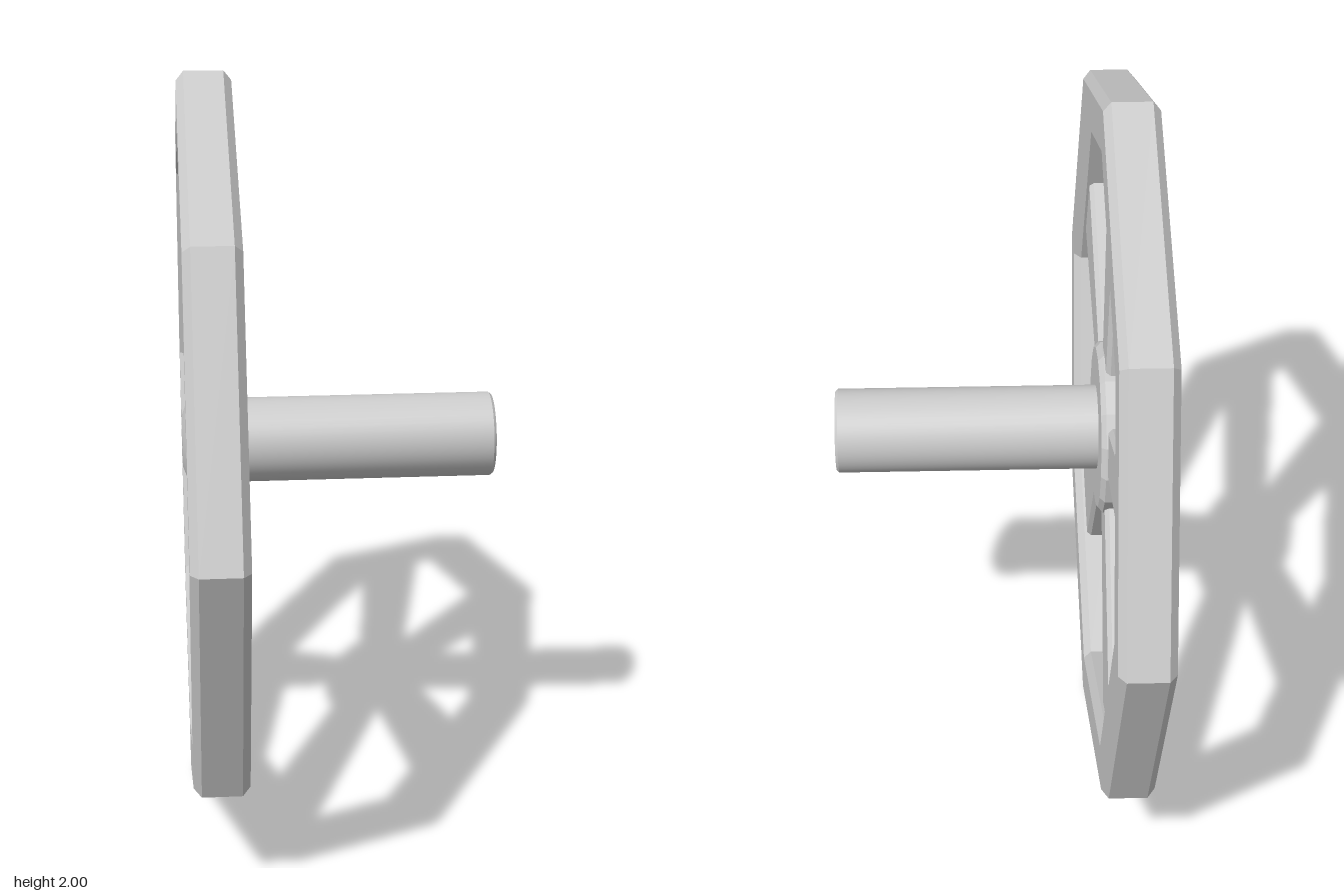
import * as THREE from 'three';
import { toCreasedNormals } from 'three/addons/utils/BufferGeometryUtils.js';

const flat = new THREE.MeshStandardMaterial({ color: 0xcccccc, flatShading: true });
const smooth = new THREE.MeshStandardMaterial({ color: 0xcccccc });

// Turned part about the x axis; profile points are [radius, x]
function turned(name, profile, sides, material) {
  let geo = new THREE.LatheGeometry(profile.map(([r, x]) => new THREE.Vector2(r, x)), sides);
  geo.rotateZ(-Math.PI / 2);
  if (material === smooth) geo = toCreasedNormals(geo, 0.4);
  const mesh = new THREE.Mesh(geo, material);
  mesh.name = name;
  return mesh;
}

export function createModel() {
  const group = new THREE.Group();
  group.name = 'handwheel';
  const wheel = new THREE.Group();
  wheel.name = 'wheel';
  wheel.position.y = 1;
  group.add(wheel);

  // Octagonal rim with chamfered edges
  wheel.add(turned('rim', [
    [0.975, -0.418], [1, -0.398], [1, -0.295], [0.975, -0.275],
    [0.862, -0.275], [0.838, -0.295], [0.838, -0.398], [0.862, -0.418], [0.975, -0.418],
  ], 8, flat));

  // Faceted hub
  wheel.add(turned('hub', [
    [0, -0.408], [0.22, -0.408], [0.235, -0.395],
    [0.235, -0.298], [0.22, -0.285], [0, -0.285],
  ], 16, flat));

  // Round shaft, passing through the hub to a tapered nose
  wheel.add(turned('shaft', [
    [0, -0.422], [0.068, -0.422], [0.114, -0.405],
    [0.114, 0.413], [0.108, 0.42], [0, 0.42],
  ], 40, smooth));

  // Five spokes, widening toward the rim
  const bevel = 0.012, depth = 0.066;
  const outline = new THREE.Shape([
    [-0.052, 0.15], [0.052, 0.15], [0.113, 0.85], [-0.113, 0.85],
  ].map(([w, r]) => new THREE.Vector2(w, r)));
  const spokeGeo = new THREE.ExtrudeGeometry(outline, {
    depth, bevelEnabled: true, bevelSize: bevel, bevelThickness: bevel, bevelSegments: 1,
  });
  spokeGeo.translate(0, 0, -depth / 2);
  spokeGeo.rotateY(Math.PI / 2);
  for (let i = 0; i < 5; i++) {
    const spoke = new THREE.Mesh(spokeGeo, flat);
    spoke.name = 'spoke' + (i + 1);
    spoke.position.x = -0.347;
    spoke.rotation.x = (i * Math.PI * 2) / 5;
    wheel.add(spoke);
  }
  return group;
}
